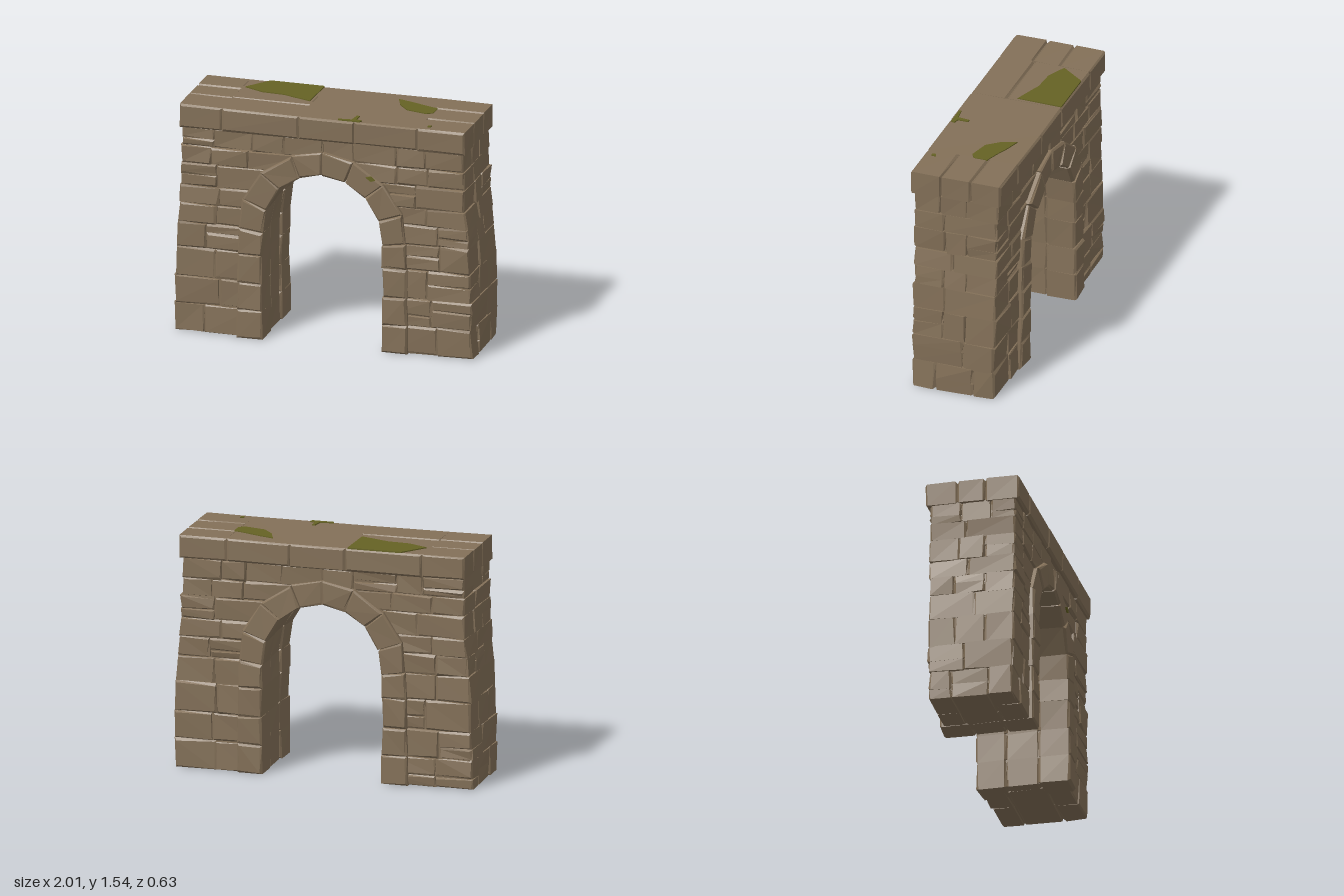
import * as THREE from 'three';
import { mergeGeometries } from 'three/addons/utils/BufferGeometryUtils.js';

const stone = new THREE.MeshStandardMaterial({ color: 0x837058 });
stone.name = 'stone';
const moss = new THREE.MeshStandardMaterial({ color: 0x656224 });
moss.name = 'moss';

let seed = 7;
const rand = () => {
  seed = (seed * 16807) % 2147483647;
  return seed / 2147483647;
};
const vary = (a) => (rand() * 2 - 1) * a;
const lerp = THREE.MathUtils.lerp;

// Repeatable offset for a position, so that coincident corners move together
function hash(x, y, z, k) {
  const s = Math.sin(Math.round(x * 1000) * 12.99 + Math.round(y * 1000) * 78.23 + Math.round(z * 1000) * 37.72 + k) * 43758.55;
  return (s - Math.floor(s)) * 2 - 1;
}

function shapeOf(points) {
  return new THREE.Shape(points.map(([x, y]) => new THREE.Vector2(x, y)));
}

// Roughly hewn stone: outline in x,y, from z0 to z1, with chamfered edges
function hewn(points, z0, z1, bevel = 0.012, rough = 0.005) {
  const g = new THREE.ExtrudeGeometry(shapeOf(points), {
    depth: z1 - z0 - 2 * bevel, steps: 1, bevelEnabled: true, bevelSegments: 1,
    bevelSize: bevel, bevelThickness: bevel, bevelOffset: -bevel,
  });
  g.translate(0, 0, z0 + bevel);
  const p = g.attributes.position;
  for (let i = 0; i < p.count; i++) {
    const x = p.getX(i), y = p.getY(i), z = p.getZ(i);
    p.setXYZ(i, x + rough * hash(x, y, z, 1), Math.max(0, y + rough * hash(x, y, z, 2)), z + rough * hash(x, y, z, 3));
  }
  g.computeVertexNormals();
  return g;
}

// Matching inner and outer points of the arch ring, right half, bottom to crown
const inner = [[0.4, 0], [0.4, 0.19], [0.405, 0.375], [0.4, 0.57], [0.4, 0.72], [0.375, 0.88], [0.285, 1.03], [0.15, 1.12], [0, 1.157]];
const outer = [[0.57, 0], [0.57, 0.19], [0.565, 0.375], [0.565, 0.57], [0.555, 0.74], [0.535, 0.94], [0.41, 1.13], [0.21, 1.265], [0, 1.31]];
const between = (t) => inner.map(([x, y], i) => [lerp(x, outer[i][0], t), lerp(y, outer[i][1], t)]);
const middle = between(0.5);

// Piecewise linear x at a height
function xAt(line, y) {
  for (let i = 1; i < line.length; i++) {
    const [x0, y0] = line[i - 1], [x1, y1] = line[i];
    if (y <= y1) return lerp(x0, x1, (y - y0) / (y1 - y0));
  }
  return line[line.length - 1][0];
}
const outside = [[0.997, 0], [0.992, 0.45], [0.975, 0.74], [0.953, 1.0], [0.942, 1.39]];
const courses = [0, 0.19, 0.375, 0.57, 0.74, 0.87, 0.99, 1.14, 1.26, 1.395];

export function createModel() {
  const group = new THREE.Group();
  const add = (name, geometries, material = stone) => {
    const mesh = new THREE.Mesh(mergeGeometries(geometries), material);
    mesh.name = name;
    group.add(mesh);
  };

  // Solid core behind the joints
  const opening = between(0.12);
  const wall = outside.map(([x, y]) => [x - 0.016, y]);
  const half = [...opening.slice().reverse(), ...wall].map(([x, y]) => [x, Math.max(y, 0.008)]);
  const mirrored = half.slice(1).reverse().map(([x, y]) => [-x, y]);
  const core = new THREE.ExtrudeGeometry(shapeOf([...half, ...mirrored]), { depth: 0.528, bevelEnabled: false });
  core.translate(0, 0, -0.264);
  add('wallCore', [core]);

  // Coursed masonry of the two piers and spandrels
  for (const side of [1, -1]) {
    const blocks = [];
    for (let r = 0; r < courses.length - 1; r++) {
      const y0 = courses[r], y1 = courses[r + 1];
      const low = r === 8 ? 0 : xAt(middle, y0);
      const high = r === 8 ? 0 : Math.max(0.13, xAt(middle, y1));
      const widest = Math.max(low, high);
      const edge = xAt(outside, (y0 + y1) / 2);
      const count = Math.max(2, Math.round((edge - widest) / 0.23));
      const cuts = r % 2 ? [-0.28, vary(0.08), 0.28] : [-0.28, -0.1 + vary(0.03), 0.1 + vary(0.03), 0.28];
      for (let k = 0; k < cuts.length - 1; k++) {
        const joints = [];
        for (let i = 1; i < count; i++) joints.push(lerp(widest, edge, (i + vary(0.22)) / count));
        const bottoms = [low, ...joints, xAt(outside, y0) + vary(0.006)];
        const tops = [high, ...joints, xAt(outside, y1) + vary(0.006)];
        for (let i = 0; i < count; i++) {
          // Some facing stones are split into two thinner ones
          const levels = rand() < 0.35 && y1 - y0 > 0.125 ? [0, 0.5 + vary(0.15), 1] : [0, 1];
          for (let l = 0; l < levels.length - 1; l++) {
            const a = levels[l], b = levels[l + 1];
            const at = (j, t) => [side * lerp(bottoms[j], tops[j], t), lerp(y0, y1, t)];
            const z0 = cuts[k] + (k === 0 ? vary(0.007) : 0);
            const z1 = cuts[k + 1] + (k === cuts.length - 2 ? vary(0.007) : 0);
            blocks.push(hewn([at(i, a), at(i + 1, a), at(i + 1, b), at(i, b)], z0, z1, 0.011, 0.006));
          }
        }
      }
    }
    add(side > 0 ? 'leftMasonry' : 'rightMasonry', blocks);
  }

  // Arch ring: proud stones at front and back, slightly recessed between
  const ring = [];
  for (const side of [1, -1]) {
    for (let i = 0; i < inner.length - 1; i++) {
      for (const [z0, z1, inset] of [[-0.308, -0.11, 0], [-0.11, 0.1, 0.05], [0.1, 0.308, 0]]) {
        const line = between(inset);
        const quad = [line[i], outer[i], outer[i + 1], line[i + 1]].map(([x, y]) => [side * x, y]);
        ring.push(hewn(quad, z0 + (z0 < -0.2 ? vary(0.005) : 0), z1 + (z1 > 0.2 ? vary(0.005) : 0), 0.012, 0.005));
      }
    }
  }
  add('archRing', ring);

  // Coping slabs, each with its own joints across the depth
  const slabs = [
    [-0.955, -0.67, [-0.309, -0.1, 0.085, 0.309]],
    [-0.67, -0.155, [-0.309, 0.07, 0.309]],
    [-0.155, 0.215, [-0.309, 0.309]],
    [0.215, 0.64, [-0.309, 0.309]],
    [0.64, 0.957, [-0.309, -0.105, 0.1, 0.309]],
  ];
  const coping = [];
  for (const [x0, x1, cuts] of slabs) {
    for (let k = 0; k < cuts.length - 1; k++) {
      const base = 1.388 + vary(0.004);
      coping.push(hewn([[x0, base], [x1, base], [x1, 1.54], [x0, 1.54]], cuts[k], cuts[k + 1], 0.013, 0.003));
    }
  }
  add('coping', coping);
  add('copingBed', [new THREE.BoxGeometry(1.87, 0.135, 0.58).translate(0, 1.46, 0)]);

  // Moss patches lying on the coping, outlines in x,z
  const patches = [
    [[-0.53, -0.3], [-0.17, -0.3], [-0.175, 0], [-0.29, -0.04], [-0.37, -0.07], [-0.52, -0.08], [-0.65, -0.14]],
    [[0.36, -0.2], [0.46, -0.17], [0.56, -0.13], [0.65, -0.1], [0.65, -0.01], [0.61, 0.015], [0.47, -0.02], [0.4, -0.1]],
    [[0.1, 0.28], [0.19, 0.27], [0.2, 0.19], [0.22, 0.19], [0.22, 0.26], [0.26, 0.27], [0.25, 0.295], [0.11, 0.295]],
    [[0.69, 0.235], [0.715, 0.225], [0.715, 0.255], [0.695, 0.26]],
  ].map((points) => {
    const g = new THREE.ExtrudeGeometry(shapeOf(points.map(([x, z]) => [x, -z])), { depth: 0.009, bevelEnabled: false });
    return g.rotateX(-Math.PI / 2).translate(0, 1.536, 0);
  });
  // Small tuft on the front of the arch ring
  patches.push(new THREE.ExtrudeGeometry(shapeOf([[0.295, 1.175], [0.33, 1.15], [0.36, 1.16], [0.33, 1.185]]),
    { depth: 0.009, bevelEnabled: false }).translate(0, 0, 0.304));
  add('moss', patches, moss);

  return group;
}
